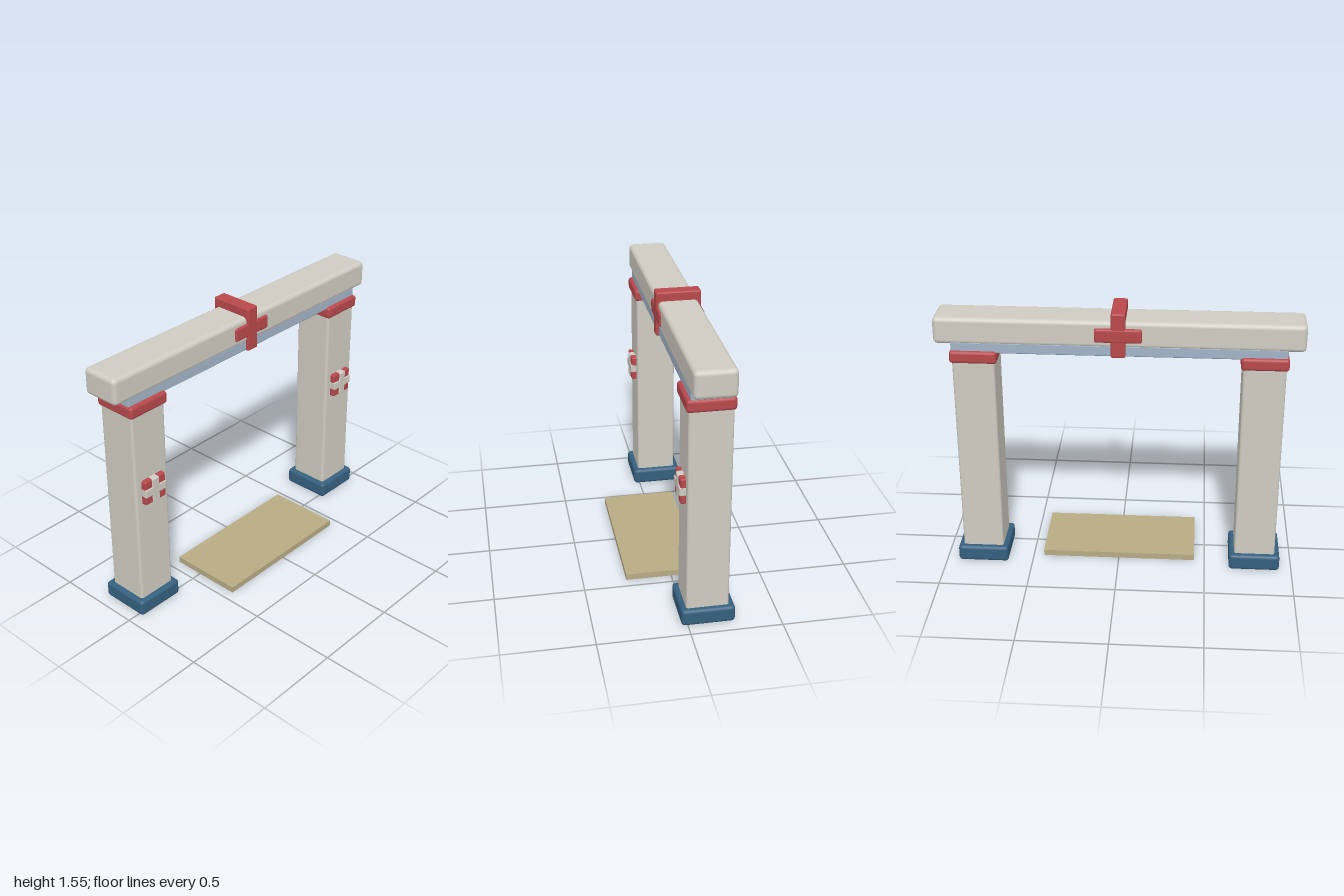
import * as THREE from 'three';
import { RoundedBoxGeometry } from 'three/addons/geometries/RoundedBoxGeometry.js';

const paint = (color) => new THREE.MeshStandardMaterial({ color });

export function createModel() {
  const group = new THREE.Group();
  const stone = paint(0xcfccc2), red = paint(0xb8484c), blue = paint(0x35607f);
  const paleBlue = paint(0xa3b4c8), sand = paint(0xb8ab84);

  // Rounded block given by its limits on each axis
  function block(name, material, [x0, x1], [y0, y1], [z0, z1], radius, parent = group) {
    const w = x1 - x0, h = y1 - y0, d = z1 - z0;
    const geometry = radius > 0
      ? new RoundedBoxGeometry(w, h, d, 3, radius)
      : new THREE.BoxGeometry(w, h, d);
    const mesh = new THREE.Mesh(geometry, material);
    mesh.name = name;
    mesh.position.set((x0 + x1) / 2, (y0 + y1) / 2, (z0 + z1) / 2);
    parent.add(mesh);
    return mesh;
  }

  // Two pillars with foot, capital and a cross plaque on the front
  for (const side of [-1, 1]) {
    const pillar = new THREE.Group();
    pillar.name = side > 0 ? 'leftPillar' : 'rightPillar';
    pillar.position.x = side * 0.785;
    group.add(pillar);
    block('foot', blue, [-0.145, 0.145], [0.005, 0.1], [-0.257, 0.035], 0.02, pillar);
    block('shaft', stone, [-0.116, 0.116], [0.03, 1.265], [-0.226, 0.006], 0.015, pillar);
    block('capital', red, [-0.129, 0.129], [1.25, 1.32], [-0.236, 0.02], 0.017, pillar);
    block('plaque', red, [-0.073, 0.073], [0.714, 0.858], [-0.005, 0.035], 0.008, pillar);
    block('plaqueUpright', stone, [-0.025, 0.025], [0.713, 0.859], [-0.005, 0.041], 0.006, pillar);
    block('plaqueCrossbar', stone, [-0.074, 0.074], [0.761, 0.811], [-0.005, 0.041], 0.006, pillar);
  }

  // Lintel and the heavy beam on top of it
  block('lintel', paleBlue, [-0.905, 0.905], [1.308, 1.37], [-0.217, -0.002], 0.008);
  block('beam', stone, [-0.998, 0.998], [1.355, 1.506], [-0.22, 0.002], 0.025);

  // Cross wrapped around the middle of the beam
  block('crossUpright', red, [-0.039, 0.039], [1.306, 1.557], [-0.236, 0.015], 0.01);
  block('crossArms', red, [-0.128, 0.128], [1.392, 1.47], [-0.238, 0.014], 0.012);

  // Threshold slab
  block('threshold', sand, [-0.44, 0.44], [0.005, 0.04], [-0.17, 0.257], 0);

  return group;
}
